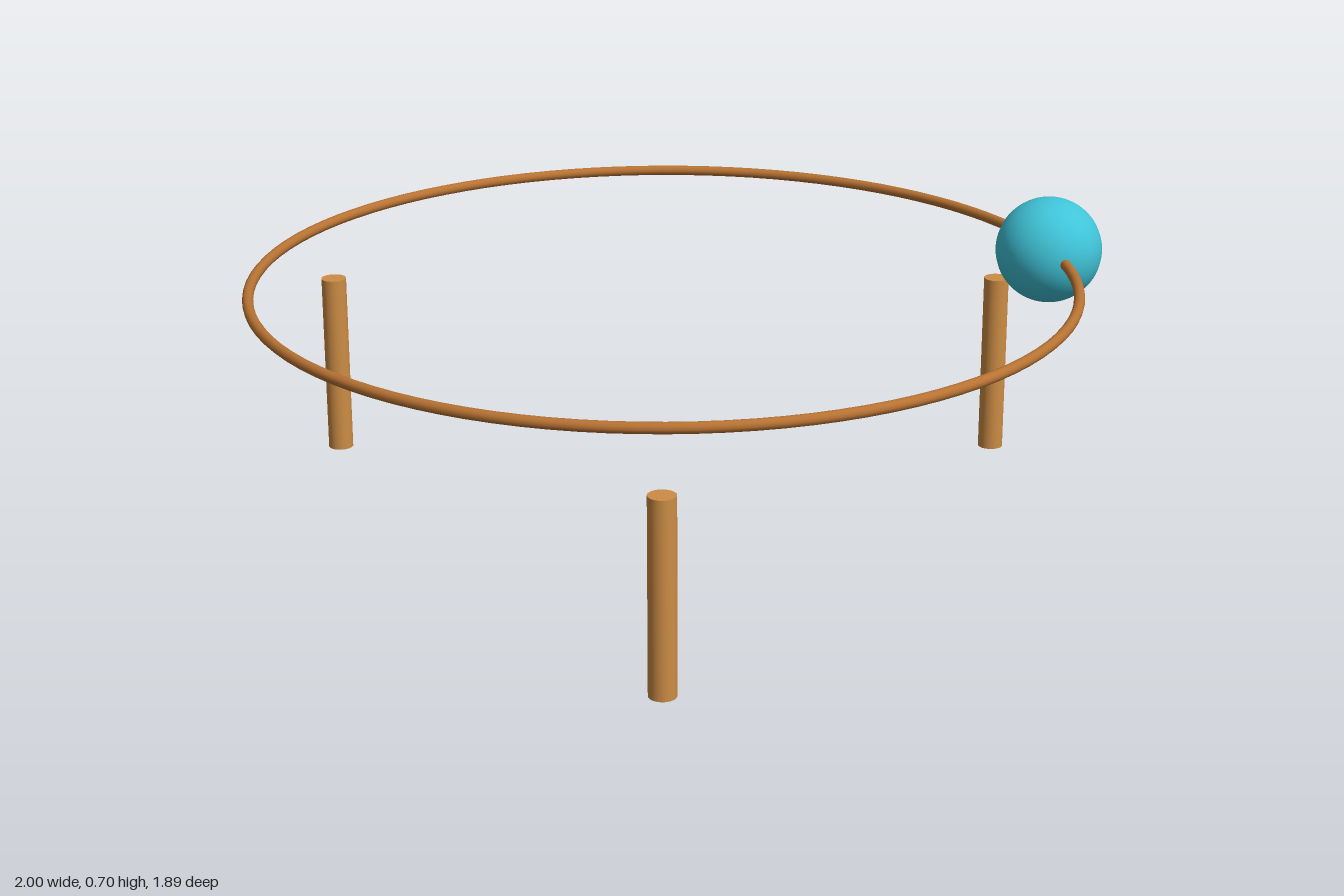
import * as THREE from 'three';

const RING_X = -0.056, RING_Y = 0.578, RING_R = 0.932, TUBE_R = 0.0124;
const BALL_R = 0.124, POST_R = 0.03, POST_H = 0.437;

export function createModel() {
  const model = new THREE.Group();
  const copper = new THREE.MeshStandardMaterial({ name: 'copper brown', color: 0xb87333 });
  const wood = new THREE.MeshStandardMaterial({ name: 'light wood', color: 0xcd8d45 });
  const turquoise = new THREE.MeshStandardMaterial({ name: 'turquoise', color: 0x40c4d8 });

  const add = (name, geometry, material, x, y, z) => {
    const mesh = new THREE.Mesh(geometry, material);
    mesh.name = name;
    mesh.position.set(x, y, z);
    model.add(mesh);
  };

  // Thin hoop lying flat, floating above the posts
  const hoop = new THREE.TorusGeometry(RING_R, TUBE_R, 12, 100).rotateX(Math.PI / 2);
  add('ring', hoop, copper, RING_X, RING_Y, 0);

  // Ball threaded on the hoop at its +x side
  add('ball', new THREE.SphereGeometry(BALL_R, 32, 32), turquoise, RING_X + RING_R, RING_Y, 0);

  // Three posts evenly spaced below the hoop
  const post = new THREE.CylinderGeometry(POST_R, POST_R, POST_H, 24);
  [105, 225, 345].forEach((degrees, i) => {
    const a = THREE.MathUtils.degToRad(degrees);
    add(`post${i + 1}`, post, wood,
      RING_X + RING_R * Math.cos(a), POST_H / 2, RING_R * Math.sin(a));
  });

  return model;
}
